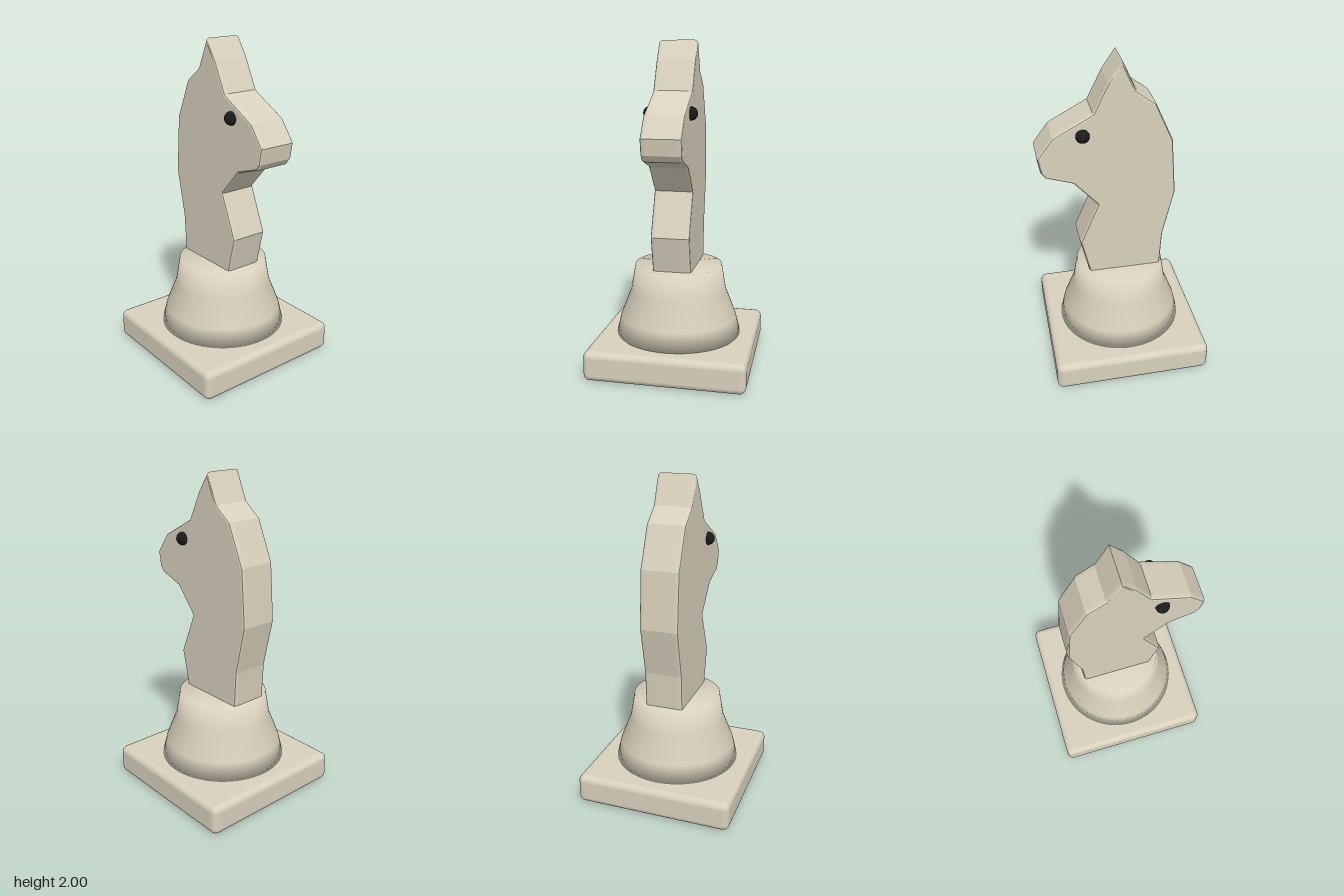
import * as THREE from 'three';
import { RoundedBoxGeometry } from 'three/addons/geometries/RoundedBoxGeometry.js';

export function createModel() {
  const model = new THREE.Group();
  model.name = 'chessKnight';

  const ivory = new THREE.MeshStandardMaterial({ color: 0xd8d0bd });
  ivory.name = 'ivory';
  const black = new THREE.MeshStandardMaterial({ color: 0x1a1a1a });
  black.name = 'black';

  const add = (name, geometry, material, x = 0, y = 0, z = 0) => {
    const mesh = new THREE.Mesh(geometry, material);
    mesh.name = name;
    mesh.position.set(x, y, z);
    model.add(mesh);
    return mesh;
  };

  // Square foot with softened edges
  add('base', new RoundedBoxGeometry(0.976, 0.185, 0.976, 3, 0.04), ivory, 0, 0.0975, -0.003).position.y = 0.0945;

  // Flared round pedestal, smooth over its rim
  const profile = [
    [0, 0.185], [0.393, 0.185], [0.365, 0.3], [0.3, 0.465], [0.272, 0.63], [0, 0.63],
  ].map(([r, y]) => new THREE.Vector2(r, y));
  add('pedestal', new THREE.LatheGeometry(profile, 64), ivory);

  // Horse head and neck: side outline as (z, y), extruded across x
  const outline = [
    [0.19, 0.55], [0.21, 0.63], [0.262, 0.85], [0.15, 1.115], [0.29, 1.275],
    [0.448, 1.328], [0.475, 1.365], [0.492, 1.46], [0.4, 1.583], [0.168, 1.708],
    [0.08, 1.885], [0, 2.0], [-0.08, 1.825], [-0.19, 1.742], [-0.298, 1.5],
    [-0.325, 1.15], [-0.257, 0.85], [-0.245, 0.63], [-0.24, 0.55],
  ].reverse().map(([z, y]) => new THREE.Vector2(z, y));
  const bevel = 0.025;
  const width = 0.236;
  const head = new THREE.ExtrudeGeometry(new THREE.Shape(outline), {
    depth: width - 2 * bevel,
    bevelThickness: bevel,
    bevelSize: 0.014,
    bevelOffset: -0.014,
    bevelSegments: 3,
  });
  head.translate(0, 0, bevel - width / 2);
  head.rotateY(-Math.PI / 2);
  add('horseHead', head, ivory);

  // Bead eyes half sunk in both cheeks
  for (const [name, side] of [['leftEye', 1], ['rightEye', -1]]) {
    add(name, new THREE.SphereGeometry(0.04, 24, 16), black, side * 0.12, 1.583, 0.23);
  }

  return model;
}
